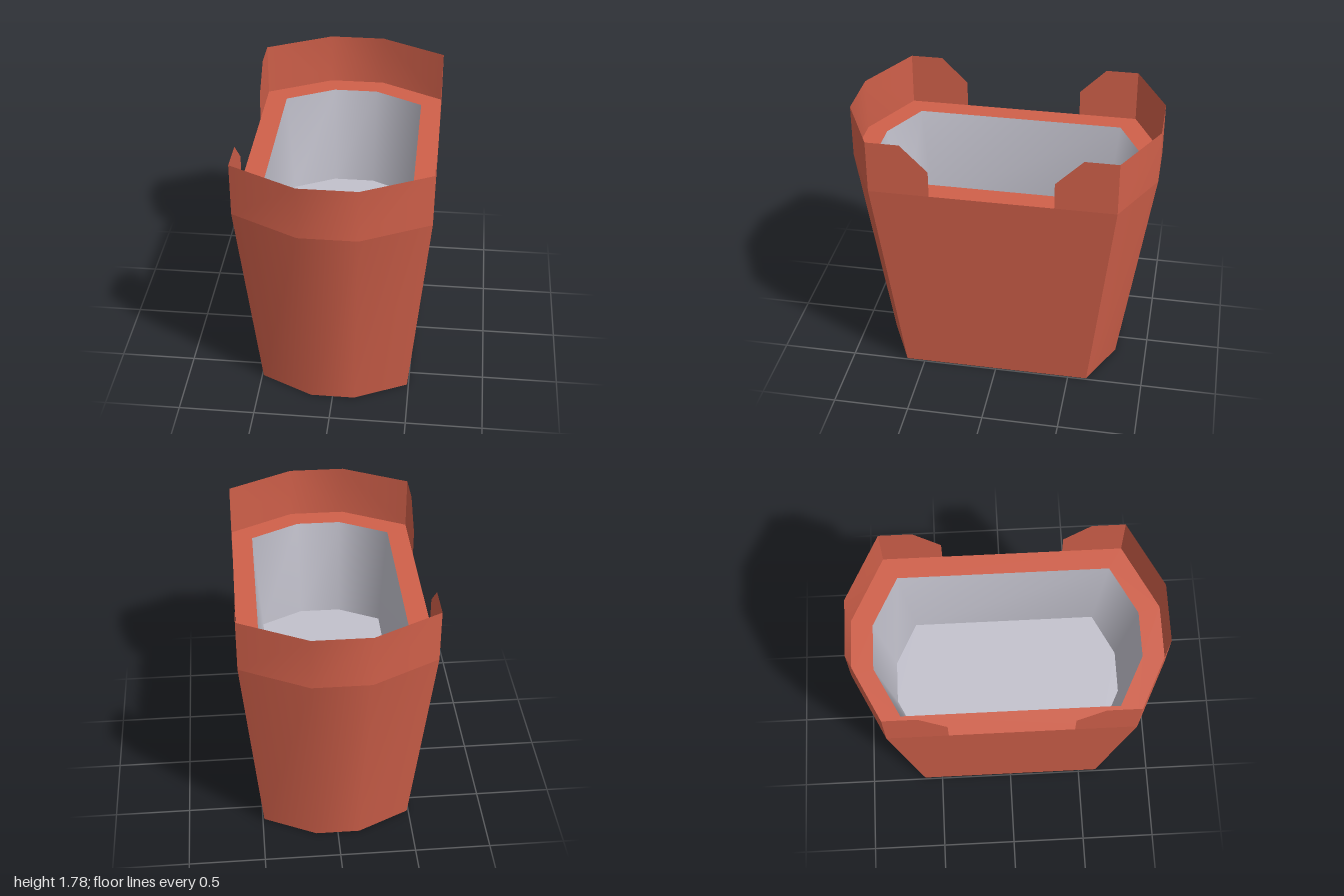
import * as THREE from 'three';

const RIM = 1.43, TOP = 1.78, FLOOR = 0.74;

// Long octagon in plan: side x, corner z, end-facet x, end z
const octagon = (a, b, c, d) =>
  [[a, b], [c, d], [-c, d], [-a, b], [-a, -b], [-c, -d], [c, -d], [a, -b]];

// Smooth wall between two matching outlines
function wall(lower, upper, y0, y1, closed = false) {
  const n = lower.length, pos = [], idx = [];
  for (let i = 0; i < n; i++) {
    pos.push(lower[i][0], y0, lower[i][1], upper[i][0], y1, upper[i][1]);
  }
  for (let i = 0; i < (closed ? n : n - 1); i++) {
    const p = 2 * i, q = 2 * ((i + 1) % n);
    idx.push(q, p, p + 1, q, p + 1, q + 1);
  }
  const g = new THREE.BufferGeometry();
  g.setAttribute('position', new THREE.Float32BufferAttribute(pos, 3));
  g.setIndex(idx);
  g.computeVertexNormals();
  return g;
}

const shapeOf = (pts) => new THREE.Shape(pts.map(([x, y]) => new THREE.Vector2(x, y)));

export function createModel() {
  const group = new THREE.Group();
  const red = new THREE.MeshStandardMaterial({ color: 0xd0604a, side: THREE.DoubleSide });
  red.name = 'terracotta red';
  const grey = new THREE.MeshStandardMaterial({ color: 0xc2c1cc });
  grey.name = 'pale grey';
  const add = (name, geometry, material) => {
    const mesh = new THREE.Mesh(geometry, material);
    mesh.name = name;
    group.add(mesh);
    return mesh;
  };

  const base = octagon(0.49, 0.625, 0.145, 0.79);
  const rim = octagon(0.615, 0.785, 0.185, 1);
  const mouth = octagon(0.475, 0.695, 0.15, 0.86);
  const floor = octagon(0.42, 0.62, 0.14, 0.76);

  // Faceted ends, raised collars and flat sides; front and back repeat
  for (const [start, end, side] of [[0, 'front', 'right'], [4, 'back', 'left']]) {
    const lo = base.slice(start, start + 4), hi = rim.slice(start, start + 4);
    add(end + 'End', wall(lo, hi, 0, RIM), red);
    add(end + 'Collar', wall(hi, hi, RIM, TOP), red);
    const pick = (loop) => [loop[start + 3], loop[(start + 4) % 8]];
    add(side + 'Side', wall(pick(base), pick(rim), 0, RIM), red);
  }

  // Collar wings wrapping round each corner, with a clipped upper edge
  for (const sx of [-1, 1]) {
    for (const sz of [-1, 1]) {
      const outline = [[0.785, RIM], [0.785, TOP], [0.57, TOP], [0.395, 1.605], [0.395, RIM]];
      const g = new THREE.ShapeGeometry(shapeOf(outline.map(([z, y]) => [-sx * sz * z, y])));
      g.rotateY(sx * Math.PI / 2);
      g.translate(sx * 0.615, 0, 0);
      add('collarWing', g, red);
    }
  }

  // Ledge around the opening
  const ledgeShape = shapeOf(rim);
  ledgeShape.holes.push(new THREE.Path(shapeOf(mouth).getPoints()));
  add('ledge', new THREE.ShapeGeometry(ledgeShape).rotateX(-Math.PI / 2).translate(0, RIM, 0), red);

  // Underside
  add('underside', new THREE.ShapeGeometry(shapeOf(base)).rotateX(Math.PI / 2), red);

  // Hollow interior, facing inwards
  add('innerWall', wall([...floor].reverse(), [...mouth].reverse(), FLOOR, RIM, true), grey);
  add('innerFloor', new THREE.ShapeGeometry(shapeOf(floor)).rotateX(-Math.PI / 2).translate(0, FLOOR, 0), grey);

  return group;
}
